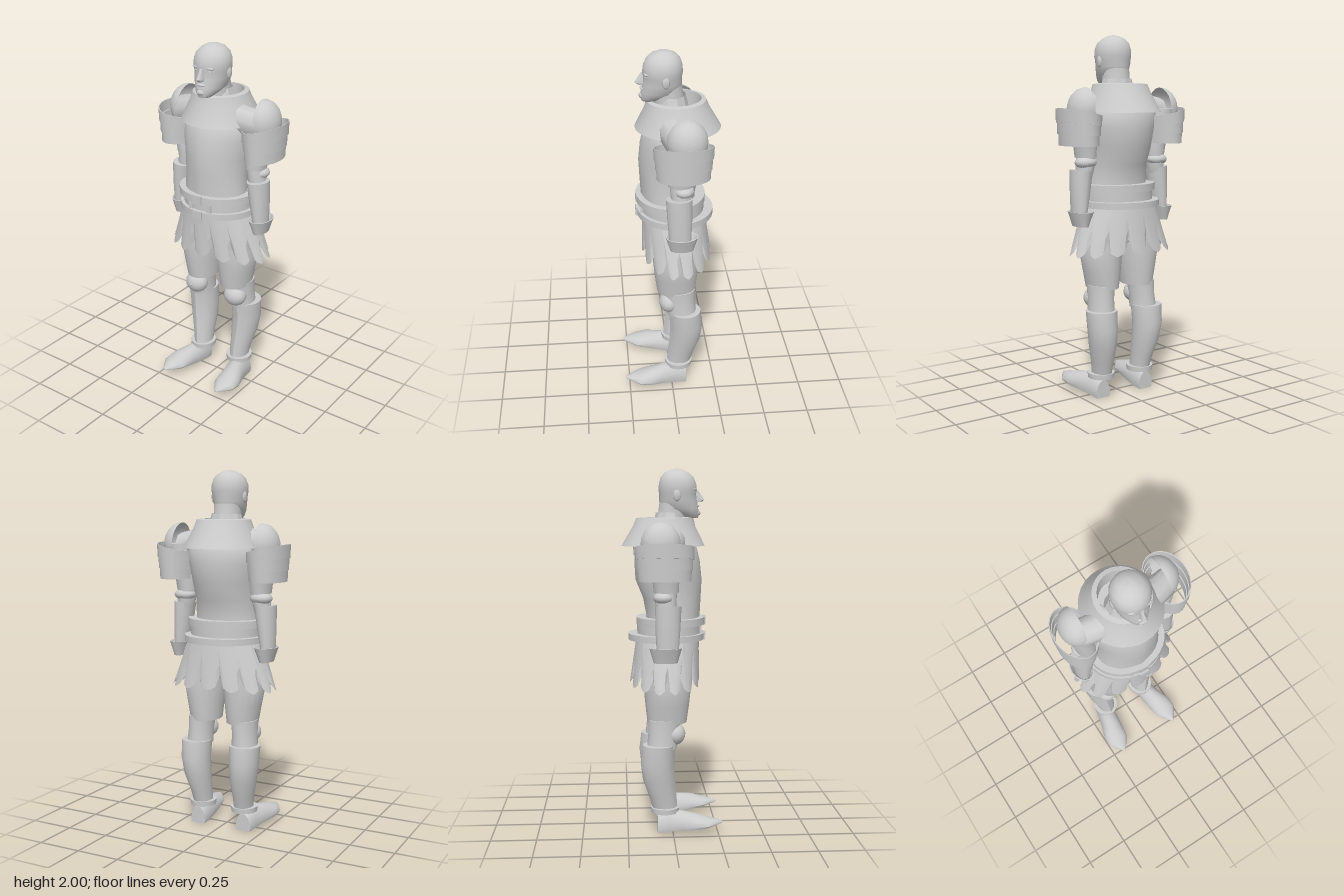
import * as THREE from 'three';
import { toCreasedNormals } from 'three/addons/utils/BufferGeometryUtils.js';

const steel = new THREE.MeshStandardMaterial({ color: 0xcccccc, side: THREE.DoubleSide });
steel.name = 'steel grey';

function add(parent, name, geometry, crease = 0.7) {
  const mesh = new THREE.Mesh(toCreasedNormals(geometry, crease), steel);
  mesh.name = name;
  parent.add(mesh);
}

// Skin a surface over rings of points; caps close the first and last ring.
function skin(rings, caps) {
  const n = rings[0].length, pos = [], idx = [];
  rings.forEach((r) => r.forEach((p) => pos.push(...p)));
  for (let i = 0; i < rings.length - 1; i++) {
    for (let j = 0; j < n; j++) {
      const a = i * n + j, b = i * n + (j + 1) % n;
      idx.push(a, b, a + n, b, b + n, a + n);
    }
  }
  const cap = (ring, base, flip) => {
    const c = pos.length / 3;
    pos.push(...[0, 1, 2].map((k) => ring.reduce((t, p) => t + p[k], 0) / n));
    for (let j = 0; j < n; j++) {
      const a = base + j, b = base + (j + 1) % n;
      if (flip) idx.push(b, a, c); else idx.push(a, b, c);
    }
  };
  if (caps) {
    cap(rings[0], 0, true);
    cap(rings[rings.length - 1], (rings.length - 1) * n, false);
  }
  const g = new THREE.BufferGeometry();
  g.setAttribute('position', new THREE.Float32BufferAttribute(pos, 3));
  g.setIndex(idx);
  return g;
}

// Sections, bottom to top: [y, centre x, centre z, radius x, radius z, tilt]
function loft(sections, { s = 1, n = 20, caps = true, ridge = 0 } = {}) {
  const rings = sections.map(([y, cx, cz, rx, rz, tilt = 0]) =>
    Array.from({ length: n }, (_, j) => {
      const a = (j / n) * Math.PI * 2, sx = Math.sin(a);
      return [cx * s + rx * sx, y + tilt * s * rx * sx, cz + rz * Math.cos(a) + (j === 0 ? ridge : 0)];
    }));
  return skin(rings, caps);
}

function ellipsoid(parent, name, x, y, z, rx, ry, rz) {
  const g = new THREE.SphereGeometry(1, 16, 12);
  g.scale(rx, ry, rz);
  g.translate(x, y, z);
  add(parent, name, g, 1);
}

function buildHead(root) {
  const head = new THREE.Group();
  head.name = 'head';
  add(head, 'skull', loft([
    [1.735, 0, 0.105, 0.035, 0.04], [1.755, 0, 0.08, 0.056, 0.073], [1.785, 0, 0.045, 0.08, 0.103],
    [1.83, 0, 0.037, 0.09, 0.104], [1.865, 0, 0.035, 0.096, 0.101], [1.885, 0, 0.035, 0.1, 0.105],
    [1.92, 0, 0.034, 0.1, 0.102], [1.955, 0, 0.032, 0.088, 0.09], [1.98, 0, 0.03, 0.063, 0.066],
    [1.995, 0, 0.03, 0.03, 0.033], [2, 0, 0.03, 0.008, 0.01],
  ], { n: 24 }), 1.1);
  add(head, 'neck', loft([[1.6, 0, -0.02, 0.085, 0.09], [1.7, 0, 0, 0.076, 0.08], [1.82, 0, 0.01, 0.076, 0.075]]));
  // Wedge nose from brow to nostrils
  add(head, 'nose', loft([
    [1.822, 0, 0.14, 0.018, 0.025], [1.834, 0, 0.142, 0.019, 0.039],
    [1.86, 0, 0.138, 0.011, 0.026], [1.885, 0, 0.13, 0.01, 0.018],
  ], { n: 8 }));
  ellipsoid(head, 'mouth', 0, 1.802, 0.138, 0.026, 0.008, 0.016);
  ellipsoid(head, 'chin', 0, 1.762, 0.134, 0.026, 0.018, 0.026);
  for (const s of [-1, 1]) {
    ellipsoid(head, 'brow', s * 0.036, 1.888, 0.12, 0.03, 0.008, 0.014);
    ellipsoid(head, 'eye', s * 0.036, 1.872, 0.119, 0.017, 0.007, 0.011);
    ellipsoid(head, 'ear', s * 0.095, 1.856, 0.025, 0.01, 0.032, 0.02);
  }
  root.add(head);
}

function buildTorso(root) {
  const torso = new THREE.Group();
  torso.name = 'torso';
  add(torso, 'cuirass', loft([
    [1.02, 0, 0.0, 0.2, 0.15], [1.2, 0, 0.007, 0.18, 0.145], [1.3, 0, 0.0, 0.174, 0.157],
    [1.4, 0, -0.018, 0.182, 0.18], [1.5, 0, -0.026, 0.2, 0.178], [1.58, 0, -0.035, 0.2, 0.168],
    [1.64, 0, -0.035, 0.15, 0.13],
  ], { n: 28, ridge: 0.006 }), 0.9);
  // Flared neck guard with a rolled open rim, over a cloth collar
  add(torso, 'gorget', loft([
    [1.585, 0, -0.045, 0.213, 0.229], [1.69, 0, -0.04, 0.163, 0.172], [1.735, 0, -0.035, 0.146, 0.157],
    [1.74, 0, -0.035, 0.12, 0.133], [1.63, 0, -0.035, 0.118, 0.131],
  ], { n: 32, caps: false }), 0.5);
  add(torso, 'clothCollar', loft([
    [1.66, 0, -0.01, 0.116, 0.1], [1.72, 0, -0.01, 0.096, 0.085], [1.765, 0, -0.01, 0.082, 0.075],
  ], { n: 10, caps: false }), 0.3);
  // Waist belts, each a closed band
  const belt = (name, y0, y1, cz, rx, rz) => add(torso, name, loft([
    [y0, 0, cz, rx - 0.05, rz - 0.05], [y0, 0, cz, rx, rz], [y1, 0, cz, rx, rz], [y1, 0, cz, rx - 0.05, rz - 0.05],
  ], { n: 32, caps: false }), 0.6);
  belt('upperBelt', 1.155, 1.195, -0.005, 0.22, 0.19);
  belt('lowerBelt', 1.07, 1.105, -0.03, 0.225, 0.21);
  belt('waistBand', 1.105, 1.155, -0.015, 0.2, 0.175);
  for (const [y, h] of [[1.175, 0.05], [1.088, 0.045]]) {
    const buckle = new THREE.BoxGeometry(0.055, h, 0.012);
    buckle.translate(0, y, 0.182);
    add(torso, 'buckle', buckle);
  }
  for (const s of [-1, 1]) {
    const strap = new THREE.BoxGeometry(0.025, 0.06, 0.012);
    strap.translate(s * 0.06, 1.13, 0.157);
    add(torso, 'beltStrap', strap);
  }
  add(torso, 'hips', loft([[0.87, 0, -0.03, 0.12, 0.08], [0.93, 0, -0.03, 0.18, 0.12], [1.08, 0, -0.02, 0.19, 0.15]]));

  // Skirt of broad pointed panels with narrow inward pleats between them
  const teeth = 14, wave = [1, 0.9, 0.72, 0, 0.72, 0.9], count = teeth * wave.length;
  const rings = [1, 0.7, 0.35, 0].map((t) => Array.from({ length: count }, (_, j) => {
    const a = (j / count) * Math.PI * 2, w = wave[j % wave.length];
    const fold = 1 - 0.15 * t * t * (1 - w);
    const hem = 0.905 - 0.08 * w - 0.02 * Math.abs(Math.sin(a));
    return [
      (0.2 + 0.112 * t) * fold * Math.sin(a),
      THREE.MathUtils.lerp(1.1, hem, t),
      -0.02 - 0.018 * t + (0.172 + 0.023 * t) * fold * Math.cos(a),
    ];
  }));
  add(torso, 'skirt', skin(rings, false), 0.25);
  root.add(torso);
}

function buildArm(root, s) {
  const arm = new THREE.Group();
  arm.name = s > 0 ? 'leftArm' : 'rightArm';
  // Sloping cloth shoulder between collar and shoulder cup: [x, y, z, radius y, radius z]
  const shoulder = [[0.1, 1.62, -0.01, 0.085, 0.085], [0.18, 1.605, -0.01, 0.08, 0.075], [0.27, 1.58, -0.035, 0.08, 0.07]]
    .map(([x, y, z, ry, rz]) => Array.from({ length: 10 }, (_, j) => {
      const a = s * (j / 10) * Math.PI * 2;
      return [s * x, y + ry * Math.cos(a), z + rz * Math.sin(a)];
    }));
  add(arm, 'shoulder', skin(shoulder, true));
  // Shoulder cup: half dome facing outward
  const cup = new THREE.SphereGeometry(1, 20, 10, 0, Math.PI * 2, 0, Math.PI / 2);
  cup.rotateZ(-s * Math.PI / 2);
  cup.scale(0.092, 0.118, 0.106);
  cup.rotateZ(s * 0.08);
  cup.translate(s * 0.25, 1.6, -0.07);
  add(arm, 'shoulderCup', cup, 1);
  // Three overlapping open bands, stepped outward toward the top
  [[1.41, 1.475, 0, 0.06, 0.094], [1.466, 1.535, 0.05, 0.14, 0.101], [1.523, 1.585, 0.12, 0.22, 0.108]]
    .forEach(([y0, y1, t0, t1, r]) => {
      const at = (y, radius, tilt) => [y, 0.275, -0.05, radius, radius + 0.046, tilt];
      add(arm, 'shoulderBand', loft([
        at(y0, r - 0.005, t0), at(y0, r, t0), at(y1, r + 0.002, t1), at(y1, r - 0.003, t1), at(y0, r - 0.005, t0),
      ], { s, n: 28, caps: false }), 0.6);
    });
  add(arm, 'upperArm', loft([
    [1.345, 0.228, -0.04, 0.055, 0.066], [1.42, 0.232, -0.042, 0.062, 0.072], [1.6, 0.27, -0.06, 0.062, 0.08],
  ], { s }));
  add(arm, 'elbow', loft([
    [1.24, 0.24, -0.04, 0.045, 0.05], [1.3, 0.232, -0.043, 0.05, 0.058], [1.36, 0.226, -0.04, 0.047, 0.057],
  ], { s, n: 14 }));
  ellipsoid(arm, 'elbowGuard', s * 0.236, 1.318, -0.055, 0.062, 0.035, 0.055);
  add(arm, 'forearm', loft([
    [1.02, 0.27, -0.035, 0.035, 0.058], [1.15, 0.26, -0.033, 0.05, 0.066], [1.275, 0.25, -0.03, 0.06, 0.07, 0.1],
  ], { s, n: 16 }));
  // Cup-shaped cuff, wide at the top
  add(arm, 'cuff', loft([
    [0.975, 0.266, -0.045, 0.034, 0.064], [1.01, 0.265, -0.045, 0.046, 0.074], [1.055, 0.263, -0.045, 0.064, 0.088],
    [1.055, 0.263, -0.045, 0.057, 0.081], [1.02, 0.266, -0.045, 0.036, 0.062],
  ], { s, n: 16 }));
  root.add(arm);
}

function buildLeg(root, s) {
  const leg = new THREE.Group();
  leg.name = s > 0 ? 'leftLeg' : 'rightLeg';
  add(leg, 'thigh', loft([
    [0.62, 0.115, -0.03, 0.085, 0.108], [0.72, 0.118, -0.028, 0.1, 0.12], [0.82, 0.122, -0.025, 0.116, 0.127],
    [0.95, 0.11, -0.025, 0.108, 0.125],
  ], { s }));
  add(leg, 'kneeSleeve', loft([
    [0.48, 0.142, -0.06, 0.072, 0.083], [0.56, 0.138, -0.05, 0.068, 0.085], [0.64, 0.135, -0.045, 0.073, 0.09],
  ], { s }));
  ellipsoid(leg, 'kneeCap', s * 0.136, 0.557, 0.012, 0.068, 0.062, 0.058);
  ellipsoid(leg, 'kneeStud', s * 0.136, 0.56, 0.068, 0.006, 0.006, 0.006);
  add(leg, 'shinGuard', loft([
    [0.13, 0.13, -0.045, 0.052, 0.066], [0.2, 0.135, -0.058, 0.058, 0.073], [0.3, 0.145, -0.08, 0.074, 0.086],
    [0.4, 0.152, -0.088, 0.082, 0.09], [0.5, 0.152, -0.078, 0.087, 0.088],
  ], { s, ridge: 0.006 }));
  add(leg, 'ankleRing', loft([[0.11, 0.132, -0.042, 0.073, 0.077], [0.138, 0.132, -0.042, 0.075, 0.079]], { s }));
  // Pointed shoe: [z, centre x, half width, sole y, top y]
  const shoe = [
    [-0.085, 0.145, 0.045, 0, 0.1], [-0.03, 0.147, 0.055, 0.01, 0.125], [0.05, 0.16, 0.061, 0.022, 0.122],
    [0.13, 0.18, 0.07, 0.036, 0.108], [0.19, 0.185, 0.065, 0.045, 0.09], [0.235, 0.186, 0.037, 0.052, 0.08],
    [0.275, 0.187, 0.006, 0.058, 0.068],
  ].map(([z, cx, w, y0, y1]) => Array.from({ length: 16 }, (_, j) => {
    const a = (j / 16) * Math.PI * 2, up = Math.sin(a), h = y1 - y0;
    return [cx * s + w * Math.cos(a), up >= 0 ? y0 + h * (0.2 + 0.8 * up) : y0 + h * 0.2 * (1 - Math.min(1, -up * 2.5)), z];
  }));
  add(leg, 'shoe', skin(shoe, true));
  root.add(leg);
}

export function createModel() {
  const root = new THREE.Group();
  root.name = 'armouredKnight';
  buildHead(root);
  buildTorso(root);
  for (const s of [-1, 1]) {
    buildArm(root, s);
    buildLeg(root, s);
  }
  return root;
}
